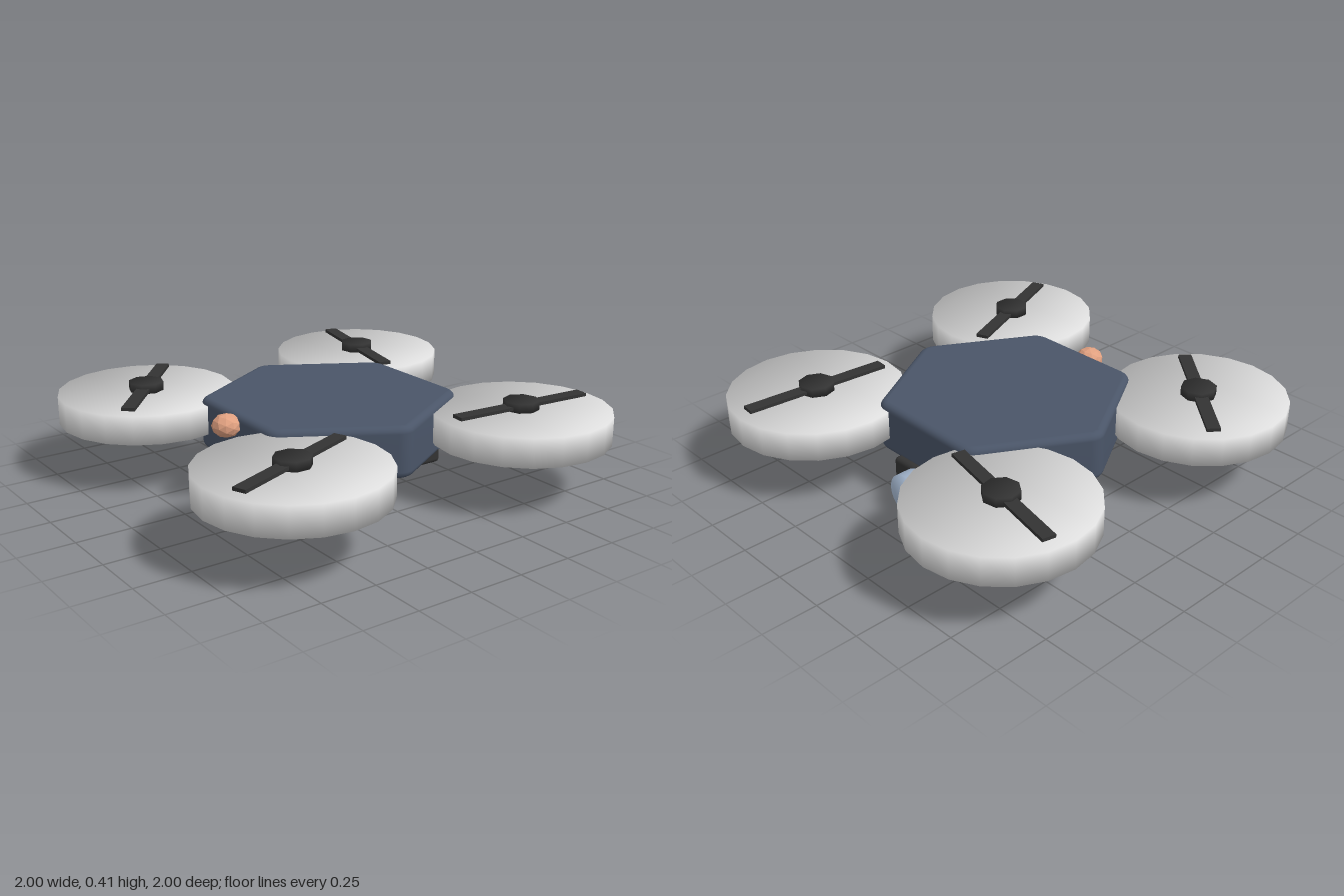
import * as THREE from 'three';
import { mergeVertices } from 'three/addons/utils/BufferGeometryUtils.js';
import { RoundedBoxGeometry } from 'three/addons/geometries/RoundedBoxGeometry.js';

const mat = (name, color, extra = {}) => {
  const m = new THREE.MeshStandardMaterial({ color, ...extra });
  m.name = name;
  return m;
};

const ring = (r, n, start = 0) => Array.from({ length: n }, (_, i) => {
  const a = start + (i / n) * Math.PI * 2;
  return new THREE.Vector2(Math.cos(a) * r, Math.sin(a) * r);
});

// Upright closed drum whose walls and caps share soft rim normals
function softDrum(r, h, sides) {
  const g = new THREE.ExtrudeGeometry(new THREE.Shape(ring(r, sides)), { depth: h, bevelEnabled: false });
  g.rotateX(-Math.PI / 2).translate(0, -h / 2, 0);
  const p = g.attributes.position, n = new THREE.Vector3();
  for (let i = 0; i < p.count; i++) {
    n.set(p.getX(i) / r, Math.sign(p.getY(i)), p.getZ(i) / r).normalize();
    g.attributes.normal.setXYZ(i, n.x, n.y, n.z);
  }
  return g;
}

// Hexagonal slab with rounded corners and rounded rims
function hexBody(apothem, bottom, top, bevel) {
  const corners = ring((apothem - bevel) / Math.cos(Math.PI / 6), 6, Math.PI / 6);
  const shape = new THREE.Shape();
  corners.forEach((c, i) => {
    const a = c.clone().lerp(corners[(i + 5) % 6], 0.06);
    const b = c.clone().lerp(corners[(i + 1) % 6], 0.06);
    if (i === 0) shape.moveTo(a.x, a.y);
    else shape.lineTo(a.x, a.y);
    shape.quadraticCurveTo(c.x, c.y, b.x, b.y);
  });
  shape.closePath();
  let g = new THREE.ExtrudeGeometry(shape, {
    depth: top - bottom - 2 * bevel, bevelThickness: bevel, bevelSize: bevel, bevelSegments: 4, curveSegments: 4,
  });
  g.rotateX(-Math.PI / 2).translate(0, bottom + bevel, 0);
  g.deleteAttribute('uv');
  g.deleteAttribute('normal');
  g = mergeVertices(g, 1e-4);
  g.computeVertexNormals();
  return g;
}

export function createModel() {
  const model = new THREE.Group();
  model.name = 'drone';
  const slate = mat('slate blue', 0x4a5568);
  const black = mat('charcoal', 0x333333);
  const white = mat('pale grey', 0xdddddd);
  const blue = mat('lens blue', 0xb0c4de);
  const orange = mat('lamp orange', 0xe0a080, { flatShading: true });

  const add = (parent, name, geometry, material, x = 0, y = 0, z = 0) => {
    const m = new THREE.Mesh(geometry, material);
    m.name = name;
    m.position.set(x, y, z);
    parent.add(m);
    return m;
  };

  add(model, 'body', hexBody(0.5, 0.17, 0.4, 0.03), slate);

  // Camera slung below the body, looking along +x
  add(model, 'cameraHousing', new RoundedBoxGeometry(0.53, 0.185, 0.315, 3, 0.02), black, 0.265, 0.0975, 0);
  add(model, 'cameraLens', softDrum(0.095, 0.2, 32), blue, 0.5, 0.095, 0).rotation.z = -Math.PI / 2;

  // Lamp on the opposite end
  add(model, 'tailLamp', new THREE.IcosahedronGeometry(0.065, 1), orange, -0.535, 0.355, 0).scale.y = 0.8;

  // Four rotors, each with its own blade angle
  const drum = softDrum(0.4, 0.13, 20);
  const hub = softDrum(0.08, 0.04, 8);
  const blade = new THREE.BoxGeometry(0.69, 0.015, 0.06);
  [[-1, -1, 0.862], [1, -1, 1.345], [-1, 1, 0.385], [1, 1, -0.085]].forEach(([sx, sz, angle]) => {
    const rotor = new THREE.Group();
    rotor.name = (sz > 0 ? 'front' : 'back') + (sx > 0 ? 'Left' : 'Right') + 'Rotor';
    rotor.position.set(sx * 0.6, 0, sz * 0.6);
    add(rotor, 'rotorDrum', drum, white, 0, 0.31, 0);
    add(rotor, 'rotorHub', hub, black, 0, 0.395, 0).rotation.y = angle;
    add(rotor, 'rotorBlade', blade, black, 0, 0.39, 0).rotation.y = angle;
    model.add(rotor);
  });

  return model;
}
